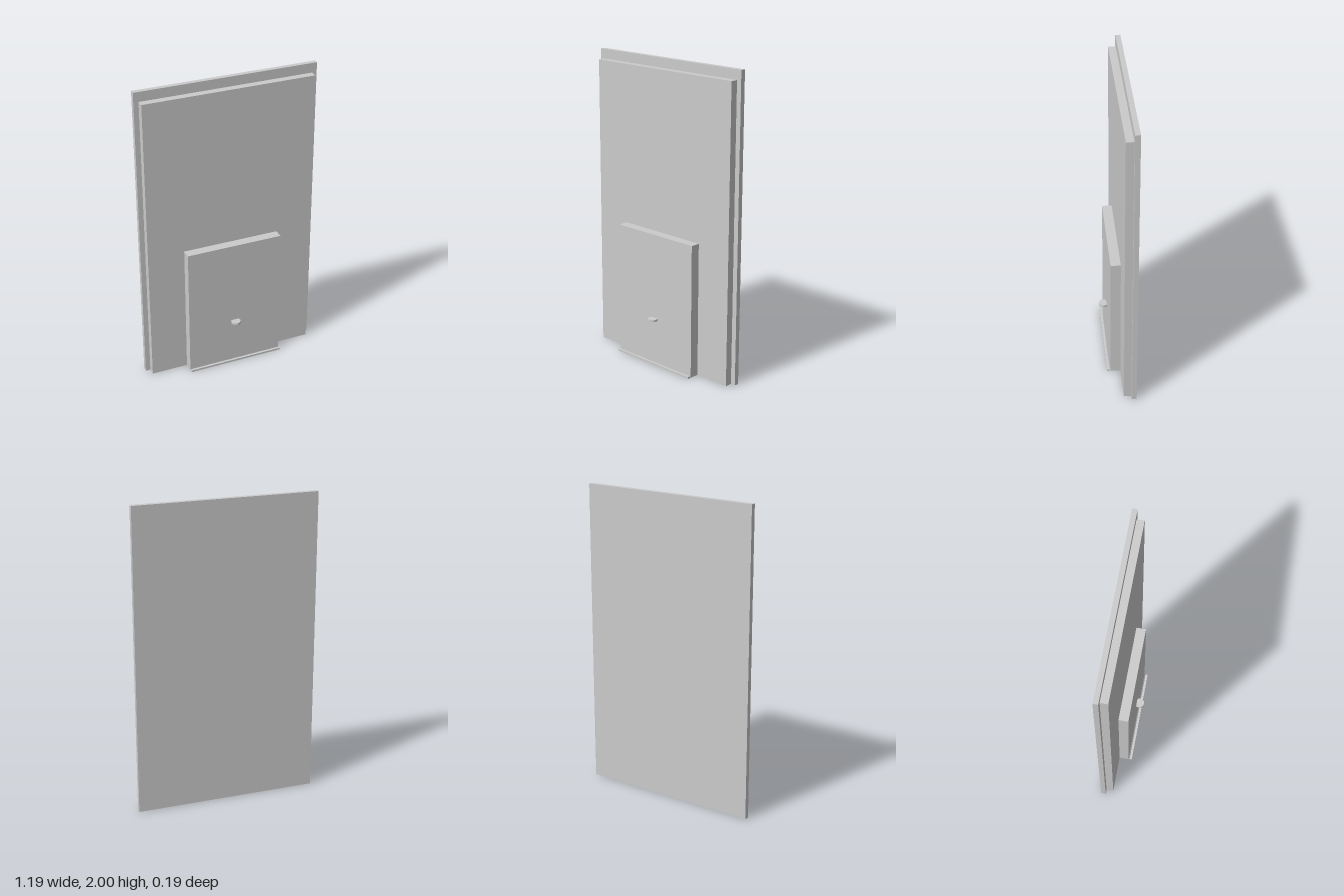
import * as THREE from 'three';

export function createModel() {
  const group = new THREE.Group();
  const material = new THREE.MeshStandardMaterial({ color: 0xcccccc, flatShading: true });

  const add = (name, geometry, x, y, z) => {
    const mesh = new THREE.Mesh(geometry, material);
    mesh.name = name;
    mesh.position.set(x, y, z);
    group.add(mesh);
  };

  // Upright slab given by width, height range and depth range
  const slab = (name, width, y0, y1, z0, z1) =>
    add(name, new THREE.BoxGeometry(width, y1 - y0, z1 - z0), 0, (y0 + y1) / 2, (z0 + z1) / 2);

  // Door layers, from back to front
  slab('doorFrame', 1.194, 0, 2, -0.098, -0.066);
  slab('doorPanel', 1.13, 0, 1.937, -0.066, -0.018);
  slab('petFlap', 0.644, 0, 0.888, -0.018, 0.046);

  // Thin strip in front of the flap's foot
  slab('bottomStrip', 0.644, 0, 0.013, 0.054, 0.07);

  // Small flat disc handle standing out of the flap
  add('flapHandle', new THREE.CylinderGeometry(0.032, 0.032, 0.013, 12), 0, 0.316, 0.065);

  return group;
}
